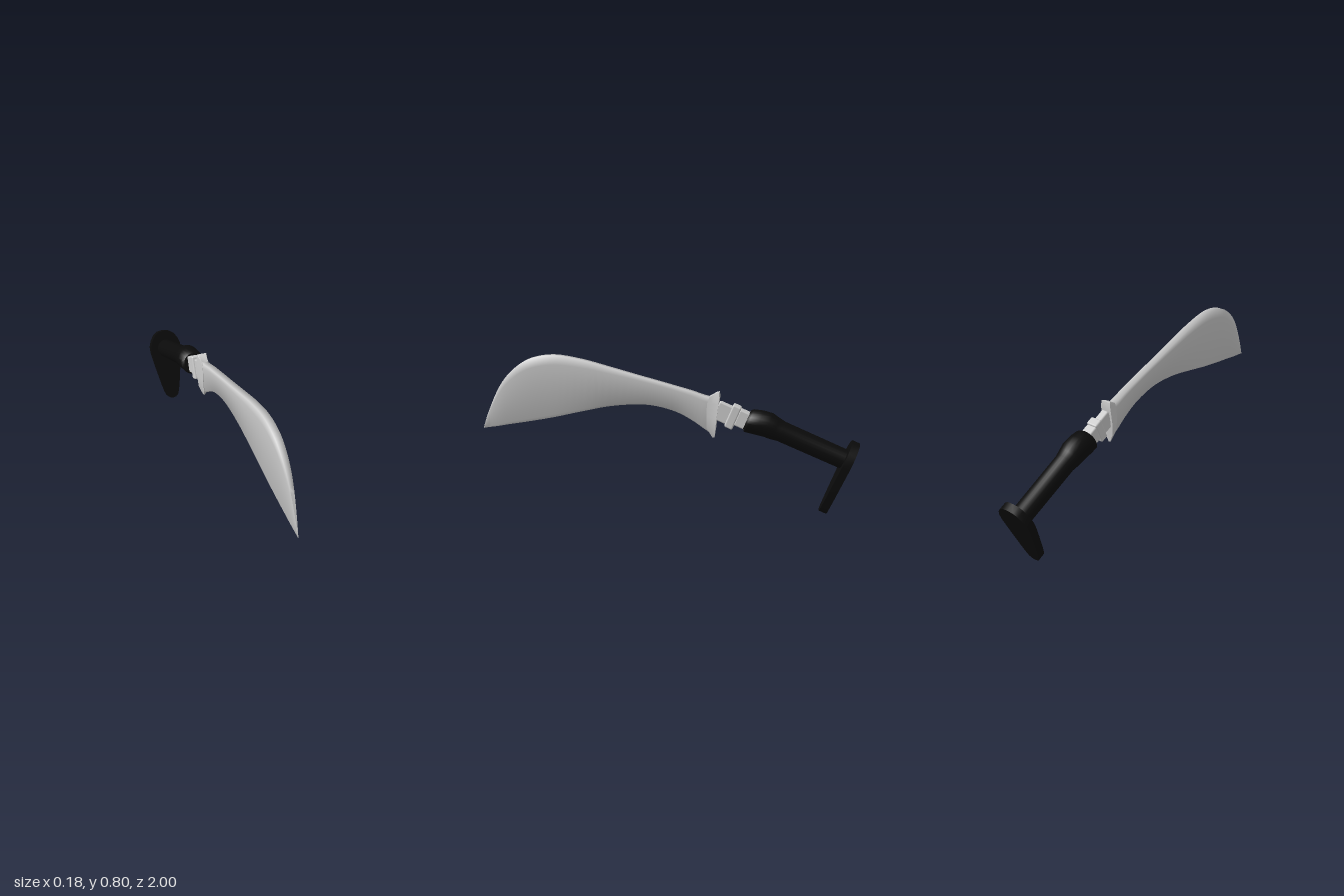
import * as THREE from 'three';
import { toCreasedNormals } from 'three/addons/utils/BufferGeometryUtils.js';
import { RoundedBoxGeometry } from 'three/addons/geometries/RoundedBoxGeometry.js';

// Skins a list of equal-length rings of [x, y, z] points and caps both ends.
function loft(rings, crease) {
  const n = rings[0].length;
  const pos = rings.flat(2);
  const idx = [];
  for (let i = 0; i < rings.length - 1; i++) {
    for (let j = 0; j < n; j++) {
      const k = (j + 1) % n;
      const a = i * n + j, b = i * n + k, c = (i + 1) * n + k, d = (i + 1) * n + j;
      idx.push(a, d, c, a, c, b);
    }
  }
  const last = (rings.length - 1) * n;
  for (let j = 1; j < n - 1; j++) {
    idx.push(0, j, j + 1, last, last + j + 1, last + j);
  }
  const geo = new THREE.BufferGeometry();
  geo.setAttribute('position', new THREE.Float32BufferAttribute(pos, 3));
  geo.setIndex(idx);
  return toCreasedNormals(geo, crease);
}

function bladeGeometry() {
  // z, cutting edge y, spine y, half thickness
  const stations = [
    [1, 0.388, 0.392, 0.001], [0.97, 0.394, 0.475, 0.004], [0.92, 0.402, 0.585, 0.009],
    [0.87, 0.412, 0.665, 0.013], [0.8, 0.425, 0.735, 0.016], [0.72, 0.44, 0.78, 0.0175],
    [0.6, 0.465, 0.8, 0.0175], [0.45, 0.502, 0.78, 0.0175], [0.3, 0.535, 0.743, 0.0175],
    [0.15, 0.55, 0.704, 0.0175], [0.05, 0.543, 0.679, 0.0175], [-0.05, 0.517, 0.653, 0.0175],
    [-0.13, 0.477, 0.632, 0.0175], [-0.2, 0.43, 0.61, 0.0175], [-0.245, 0.4, 0.603, 0.014],
  ];
  const curve = (col) => new THREE.CatmullRomCurve3(
    stations.map((s) => new THREE.Vector3(s[3], s[col], s[0])), false, 'catmullrom', 0.5);
  const edge = curve(1), spine = curve(2);
  const rings = [];
  for (let i = 0; i <= 56; i++) {
    const e = edge.getPoint(i / 56), s = spine.getPoint(i / 56);
    const w = e.x, h = s.y - e.y;
    const y = (t) => e.y + t * h;
    rings.push([
      [0, y(0), e.z], [0.6 * w, y(0.05), e.z], [w, y(0.85), e.z], [w, y(1), e.z],
      [-w, y(1), e.z], [-w, y(0.85), e.z], [-0.6 * w, y(0.05), e.z],
    ]);
  }
  return loft(rings, 1.7);
}

function guardGeometry() {
  // y, front z, back z, front half width, back half width
  const levels = [
    [0.63, -0.263, -0.274, 0.018, 0.027], [0.607, -0.225, -0.277, 0.018, 0.029],
    [0.57, -0.212, -0.273, 0.018, 0.031], [0.5, -0.21, -0.264, 0.017, 0.032],
    [0.44, -0.21, -0.258, 0.013, 0.026], [0.388, -0.24, -0.252, 0.002, 0.005],
  ];
  return loft(levels.map(([y, f, b, wf, wb]) => {
    const m = (f + b) / 2, wm = wf + 0.25 * (wb - wf);
    return [[wf, y, f], [wm, y, m], [wb, y, b], [-wb, y, b], [-wm, y, m], [-wf, y, f]];
  }), 0.7);
}

function gripGeometry() {
  // distance along the grip, centre offset, radius
  const sections = [
    [0, -0.017, 0.052], [0.012, -0.017, 0.064], [0.06, -0.005, 0.067], [0.11, 0.003, 0.066],
    [0.15, 0, 0.06], [0.185, 0, 0.054], [0.545, 0, 0.052],
  ];
  const sides = 24;
  return loft(sections.map(([s, u, r]) => Array.from({ length: sides }, (_, j) => {
    const a = (j / sides) * Math.PI * 2;
    return [r * Math.cos(a), u + r * Math.sin(a), -s];
  })), 0.7);
}

function pommelGeometry() {
  // Half outline of the teardrop plate, top to bottom
  const half = [
    [0.032, 0.102], [0.057, 0.085], [0.078, 0.055], [0.09, 0.02], [0.09, -0.018],
    [0.073, -0.115], [0.052, -0.22], [0.041, -0.265], [0.032, -0.29], [0.018, -0.303],
  ];
  const points = [[0, 0.106], ...half, [0, -0.306], ...half.map(([x, y]) => [-x, y]).reverse()];
  const shape = new THREE.Shape(points.map(([x, y]) => new THREE.Vector2(x, y)));
  const geo = new THREE.ExtrudeGeometry(shape, { depth: 0.042, bevelEnabled: false });
  geo.translate(0, 0, -0.577);
  return toCreasedNormals(geo, 0.7);
}

export function createModel() {
  const steel = new THREE.MeshStandardMaterial({ color: 0xcccccc });
  steel.name = 'steel';
  const black = new THREE.MeshStandardMaterial({ color: 0x0b0b0b });
  black.name = 'blackGrip';

  const model = new THREE.Group();
  model.name = 'machete';
  const add = (parent, name, geo, mat) => {
    const mesh = new THREE.Mesh(geo, mat);
    mesh.name = name;
    parent.add(mesh);
    return mesh;
  };

  add(model, 'blade', bladeGeometry(), steel);
  add(model, 'guard', guardGeometry(), steel);

  // Handle frame: local -z runs down the sloping grip
  const handle = new THREE.Group();
  handle.name = 'handle';
  handle.position.set(0, 0.506, -0.425);
  handle.rotation.x = -Math.PI / 8;
  model.add(handle);

  // Stepped steel connector: width, height, length, y, z
  const blocks = {
    connectorNeck: [0.04, 0.1, 0.1, -0.033, 0.115],
    connectorCollar: [0.062, 0.126, 0.046, -0.031, 0.072],
    connectorFerrule: [0.058, 0.09, 0.07, -0.022, 0.018],
  };
  for (const [name, [w, h, d, y, z]] of Object.entries(blocks)) {
    add(handle, name, new RoundedBoxGeometry(w, h, d, 2, 0.008), steel).position.set(0, y, z);
  }

  add(handle, 'grip', gripGeometry(), black);
  add(handle, 'pommelPlate', pommelGeometry(), black);
  return model;
}
